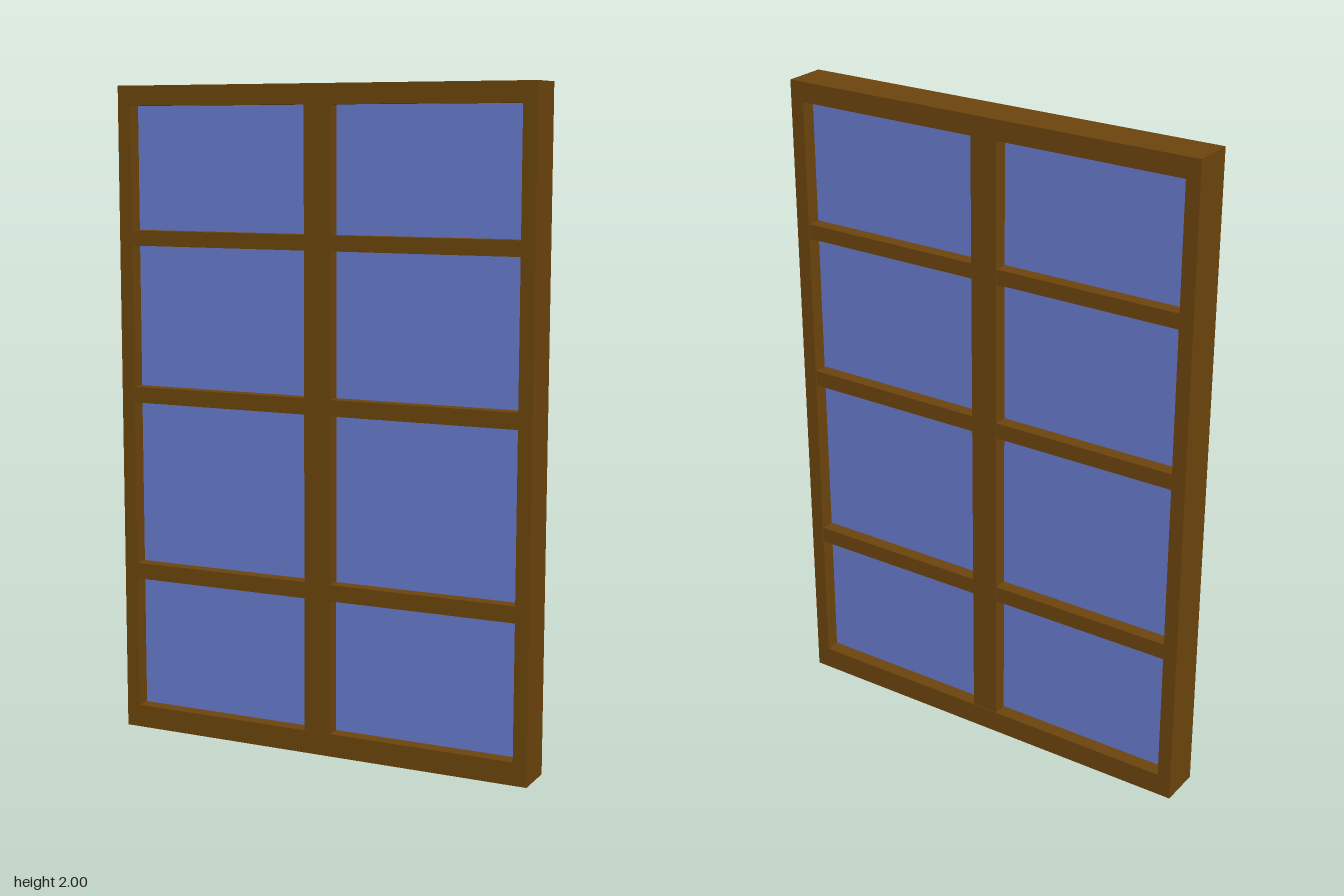
import * as THREE from 'three';

const WIDTH = 1.34, HEIGHT = 2, DEPTH = 0.13;
const STILE = 0.043;

export function createModel() {
  const model = new THREE.Group();
  model.name = 'window';

  const wood = new THREE.MeshStandardMaterial({ color: 0x6b440c });
  wood.name = 'brown wood';
  const glass = new THREE.MeshStandardMaterial({ color: 0x667acb });
  glass.name = 'blue glass';

  // Box given by its x and y limits, centred on z = 0
  function bar(name, x0, x1, y0, y1, depth, material) {
    const mesh = new THREE.Mesh(new THREE.BoxGeometry(x1 - x0, y1 - y0, depth), material);
    mesh.position.set((x0 + x1) / 2, (y0 + y1) / 2, 0);
    mesh.name = name;
    model.add(mesh);
  }

  const half = WIDTH / 2, inner = half - STILE;
  const bottom = 0.07, top = 1.94;

  // Outer frame
  bar('bottomRail', -half, half, 0, bottom, DEPTH, wood);
  bar('topRail', -half, half, top, HEIGHT, DEPTH, wood);
  bar('rightStile', -half, -inner, bottom, top, DEPTH, wood);
  bar('leftStile', inner, half, bottom, top, DEPTH, wood);

  // Central mullion, a hair shallower than the frame
  bar('mullion', -0.043, 0.042, bottom, top, DEPTH - 0.004, wood);

  // Horizontal glazing bars
  const bars = [[0.48, 0.53], [1.037, 1.086], [1.52, 1.566]];
  for (const [y0, y1] of bars) {
    bar('glazingBar', -inner, inner, y0, y1, DEPTH - 0.006, wood);
  }

  // Panes set back from both faces, one in each opening
  const levels = [bottom, ...bars.flat(), top];
  for (let i = 0; i < levels.length; i += 2) {
    bar('rightPane', -inner, -0.043, levels[i], levels[i + 1], 0.04, glass);
    bar('leftPane', 0.042, inner, levels[i], levels[i + 1], 0.04, glass);
  }

  return model;
}
